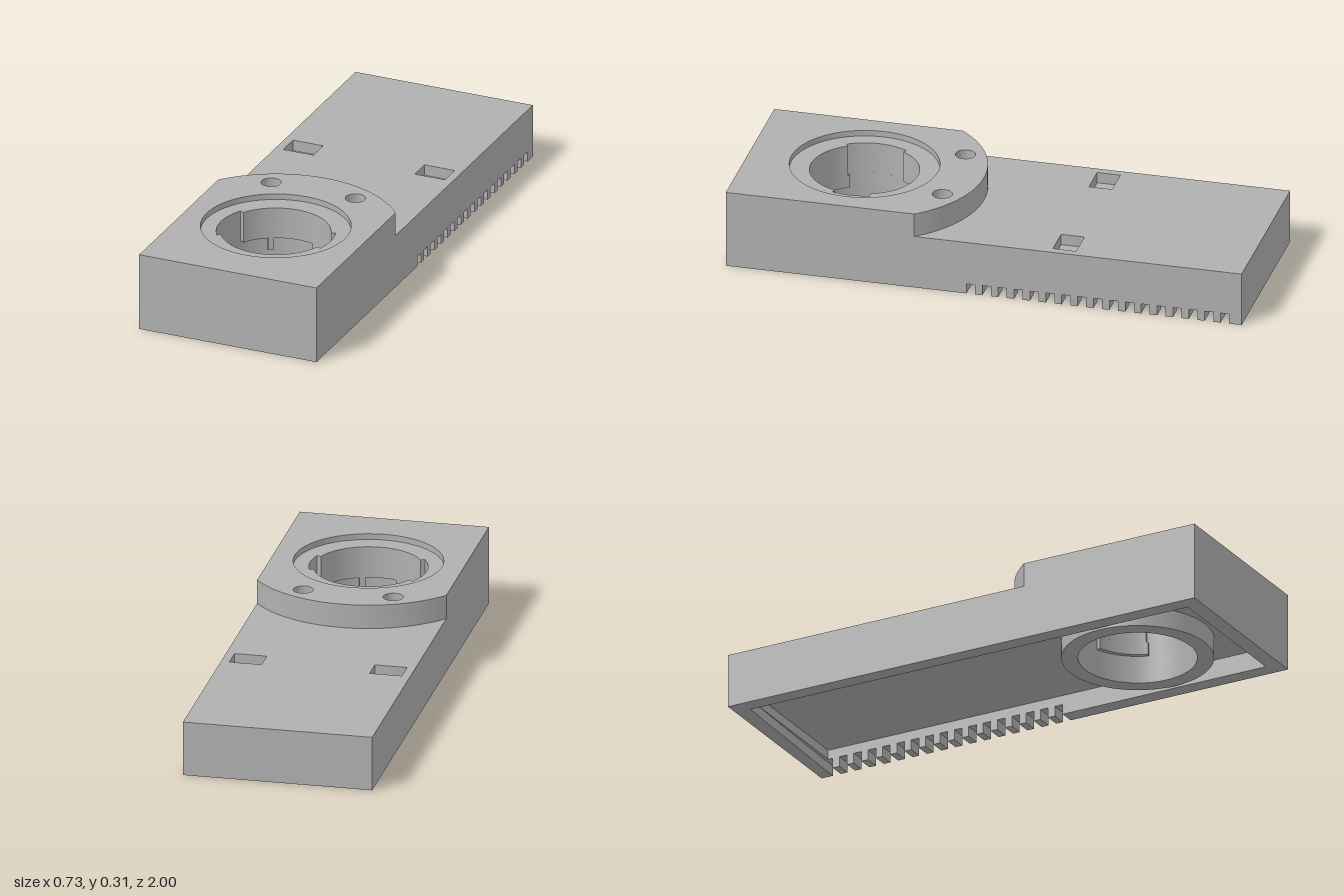
import * as THREE from 'three';
import { toCreasedNormals } from 'three/addons/utils/BufferGeometryUtils.js';

const W = 0.364;            // half width
const WALL = 0.062;         // skirt thickness
const CZ = 0.556;           // bore centre in z
const BORE = 0.224, LIP = 0.207;
const Y = { notch: 0.04, ceiling: 0.077, tooth: 0.11, lip: 0.16, pocket: 0.17, deck: 0.213, seat: 0.284, top: 0.307 };

export function createModel() {
  const group = new THREE.Group();
  const grey = new THREE.MeshStandardMaterial({ color: 0xb0b0b0 });
  grey.name = 'grey';

  // Plans are drawn as (x, -z) and raised from y0 to y1
  const slab = (name, shape, y0, y1) => {
    let geo = new THREE.ExtrudeGeometry(shape, { depth: y1 - y0, bevelEnabled: false, curveSegments: 48 });
    geo.rotateX(-Math.PI / 2);
    geo.translate(0, y0, 0);
    geo = toCreasedNormals(geo, 0.5);
    const mesh = new THREE.Mesh(geo, grey);
    mesh.name = name;
    group.add(mesh);
  };
  const plan = (pts) => new THREE.Shape(pts.map(([x, z]) => new THREE.Vector2(x, -z)));
  const rect = (x0, x1, z0, z1) => plan([[x0, z1], [x1, z1], [x1, z0], [x0, z0]]);
  const disc = (x, z, r) => new THREE.Shape().absarc(x, -z, r, 0, Math.PI * 2, false);
  const withHoles = (shape, ...holes) => { shape.holes.push(...holes); return shape; };
  const block = () => rect(-W, W, -1, 1);
  const cavity = () => rect(-W + WALL, W - WALL, -1 + WALL, 1 - WALL);

  // Bore outline at the locking lip, with a wide left and narrow right entry slot
  const lipHole = () => {
    const pts = [];
    let last = null;
    for (let i = 0; i < 180; i++) {
      const deg = i * 2 - 180;
      const r = Math.abs(deg) <= 18 || Math.abs(deg) >= 150 ? BORE : LIP;
      const at = (rad) => pts.push(new THREE.Vector2(
        rad * Math.cos(deg * Math.PI / 180), -CZ + rad * Math.sin(deg * Math.PI / 180)));
      if (last !== null && last !== r) at(last);
      at(r);
      last = r;
    }
    return new THREE.Shape(pts);
  };

  // Lower skirt, open on one side where the row of notches runs
  const pitch = 0.0616, cut = 0.033, first = 0.067;
  const end = first - 16 * pitch - cut;
  const xi = W - WALL, zi = 1 - WALL;
  slab('lowerSkirt', plan([
    [W, first], [W, 1], [-W, 1], [-W, -1], [W, -1], [W, end], [xi, end],
    [xi, Math.min(end, -zi)], [-xi, -zi], [-xi, zi], [xi, zi], [xi, first],
  ]), 0, Y.notch);
  for (let i = 0; i < 16; i++) {
    const z = first - i * pitch - cut;
    slab('skirtTooth', rect(xi, W, z - (pitch - cut), z), 0, Y.notch);
  }
  slab('upperSkirt', withHoles(block(), cavity()), Y.notch, Y.ceiling);

  // Collar around the bore on the underside
  slab('boreCollar', withHoles(disc(0, CZ, 0.287), disc(0, CZ, BORE)), 0, Y.ceiling);

  // Main plate with bore and two blind pockets
  const pockets = () => [-1, 1].map((s) => rect(s * 0.27 - 0.062, s * 0.27 + 0.062, -0.35, -0.26));
  slab('plateBottom', withHoles(block(), disc(0, CZ, BORE)), Y.ceiling, Y.lip);
  slab('plateMiddle', withHoles(block(), lipHole()), Y.lip, Y.pocket);
  slab('plateTop', withHoles(block(), lipHole(), ...pockets()), Y.pocket, Y.deck);

  // Raised platform with rounded rear edge, screw holes and shallow round seat
  const platform = () => {
    const R = 0.463, a = Math.acos(W / R);
    const s = new THREE.Shape();
    s.moveTo(-W, -1);
    s.lineTo(W, -1);
    s.absarc(0, -CZ, R, a, Math.PI - a, false);
    s.closePath();
    return s;
  };
  const screws = () => [-1, 1].map((s) => disc(s * 0.173, 0.21, 0.038));
  slab('platform', withHoles(platform(), lipHole(), ...screws()), Y.deck, Y.seat);
  slab('platformRim', withHoles(platform(), disc(0, CZ, 0.283), ...screws()), Y.seat, Y.top);

  // Locking teeth and narrow stops under the lip (degrees, counter-clockwise from +x seen from above)
  const arcBlock = (name, from, to) => {
    const a = from * Math.PI / 180, b = to * Math.PI / 180;
    const s = new THREE.Shape();
    s.absarc(0, -CZ, BORE + 0.003, a, b, false);
    s.absarc(0, -CZ, LIP, b, a, true);
    s.closePath();
    slab(name, s, Y.tooth, Y.lip);
  };
  arcBlock('lockingTooth', 210, 252);
  arcBlock('lockingTooth', 18, 72);
  arcBlock('stop', 116, 122);
  arcBlock('stop', 286, 292);

  return group;
}
